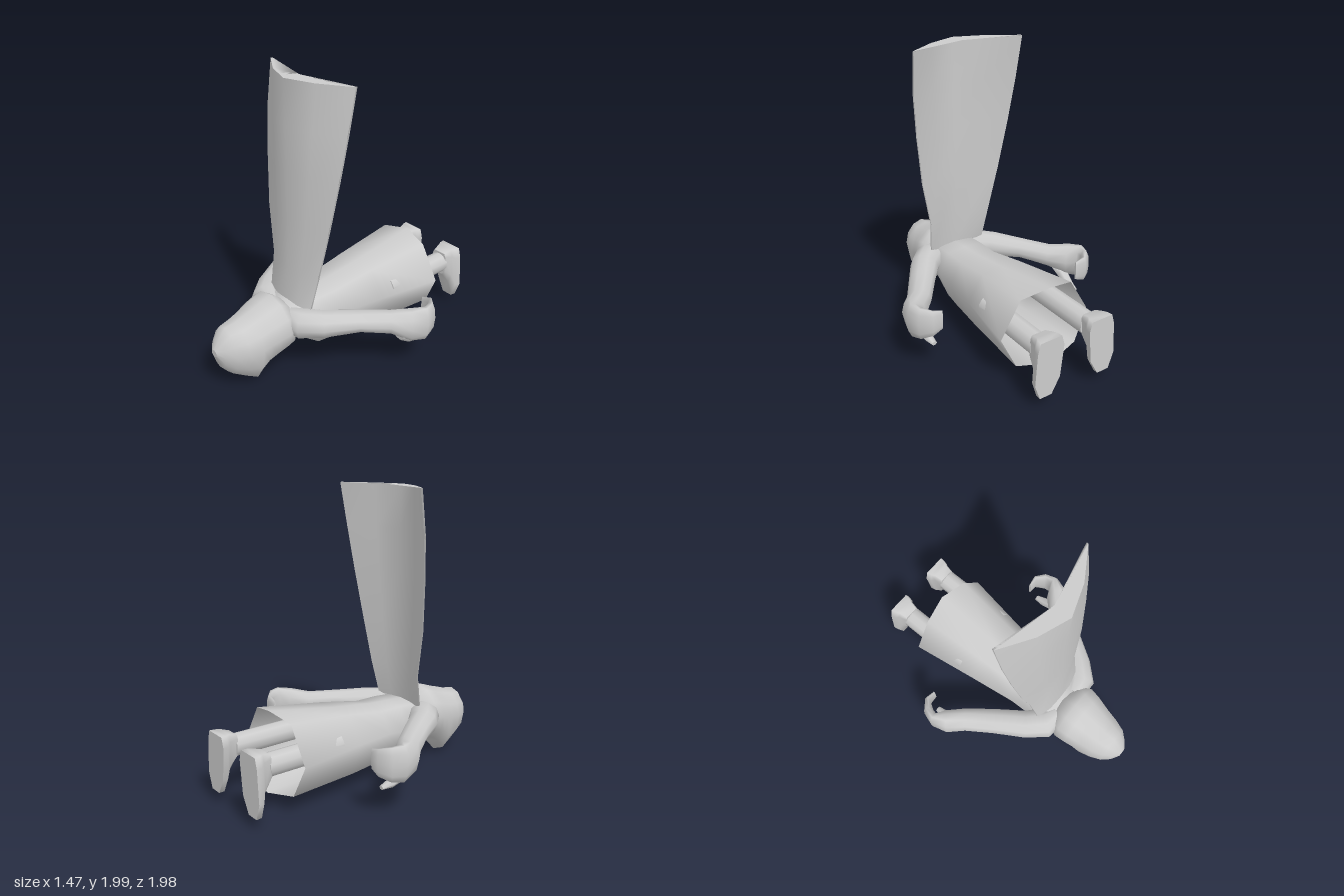
import * as THREE from 'three';

const material = new THREE.MeshStandardMaterial({ color: 0xcccccc, side: THREE.DoubleSide });
const V = (x, y, z) => new THREE.Vector3(x, y, z);

// Skin a list of equal-length closed rings; end caps get their own vertices so their rims stay sharp
function loft(name, rings, { capStart = false, capEnd = false } = {}) {
  const n = rings[0].length, pos = [], index = [];
  rings.forEach(r => r.forEach(p => pos.push(p.x, p.y, p.z)));
  for (let i = 0; i < rings.length - 1; i++) {
    for (let j = 0; j < n; j++) {
      const a = i * n + j, b = i * n + (j + 1) % n;
      index.push(a, b, b + n, a, b + n, a + n);
    }
  }
  const cap = (ring, flip) => {
    const base = pos.length / 3;
    const mid = ring.reduce((s, p) => s.add(p), V(0, 0, 0)).divideScalar(n);
    [mid, ...ring].forEach(p => pos.push(p.x, p.y, p.z));
    for (let j = 0; j < n; j++) {
      const a = base + 1 + j, b = base + 1 + (j + 1) % n;
      index.push(base, flip ? b : a, flip ? a : b);
    }
  };
  if (capStart) cap(rings[0], true);
  if (capEnd) cap(rings[rings.length - 1], false);
  const g = new THREE.BufferGeometry();
  g.setAttribute('position', new THREE.Float32BufferAttribute(pos, 3));
  g.setIndex(index);
  g.computeVertexNormals();
  const mesh = new THREE.Mesh(g, material);
  mesh.name = name;
  return mesh;
}

// Egg-shaped ring in the xy plane with separate upper and lower heights
function eggRing(z, top, bottom, half, mid, n = 12, cx = 0) {
  return Array.from({ length: n }, (_, k) => {
    const a = k / n * Math.PI * 2, s = Math.sin(a);
    return V(cx + half * Math.cos(a), mid + s * (s > 0 ? top - mid : mid - bottom), z);
  });
}

// Sweep flattened ovals along a path; stations are [x, y, z, half width, half height]
function sweep(name, stations, n = 10) {
  const pts = stations.map(s => V(s[0], s[1], s[2]));
  const up = V(0, 1, 0);
  const rings = stations.map((s, i) => {
    const t = pts[Math.min(i + 1, pts.length - 1)].clone().sub(pts[Math.max(i - 1, 0)]);
    const side = up.clone().cross(t).normalize();
    return Array.from({ length: n }, (_, k) => {
      const a = k / n * Math.PI * 2;
      return pts[i].clone().addScaledVector(side, s[3] * Math.cos(a)).addScaledVector(up, s[4] * Math.sin(a));
    });
  });
  return loft(name, rings, { capStart: true, capEnd: true });
}

function makeRobe() {
  // [z, top y, corner x, y, side x, y, lower x, y, bottom y], hem to neck
  const sections = [
    [-0.70, 0.64, 0.20, 0.60, 0.345, 0.36, 0.24, 0.14, 0.09],
    [-0.20, 0.55, 0.16, 0.54, 0.27, 0.36, 0.20, 0.14, 0.115],
    [0.10, 0.51, 0.14, 0.49, 0.22, 0.35, 0.18, 0.16, 0.13],
    [0.26, 0.50, 0.14, 0.49, 0.21, 0.33, 0.15, 0.15, 0.11],
    [0.40, 0.49, 0.14, 0.48, 0.20, 0.36, 0.12, 0.24, 0.19],
    [0.52, 0.44, 0.10, 0.42, 0.14, 0.36, 0.08, 0.28, 0.25],
  ];
  const rings = sections.map(([z, top, cx, cy, sx, sy, lx, ly, bot], i) => {
    const h = i === 0 ? 1 : 0; // the hem is pointed at back and front
    return [
      V(sx, sy, z + 0.02 * h), V(cx, cy, z + 0.02 * h), V(0, top, z - 0.015 * h), V(-cx, cy, z + 0.02 * h),
      V(-sx, sy, z + 0.02 * h), V(-lx, ly, z), V(0, bot, z - 0.045 * h), V(lx, ly, z),
    ];
  });
  return loft('robe', rings, { capEnd: true });
}

function makeHead() {
  // [z, top, bottom, half width, height of widest point], neck to crown
  const sections = [
    [0.43, 0.47, 0.19, 0.13, 0.33],
    [0.47, 0.52, 0.17, 0.19, 0.36],
    [0.54, 0.57, 0.17, 0.223, 0.37],
    [0.62, 0.543, 0.13, 0.212, 0.35],
    [0.68, 0.52, 0.085, 0.198, 0.33],
    [0.73, 0.505, 0.01, 0.188, 0.31],
    [0.82, 0.475, 0.07, 0.168, 0.30],
    [0.90, 0.465, 0.125, 0.135, 0.30],
    [0.955, 0.395, 0.19, 0.085, 0.30],
    [0.99, 0.335, 0.29, 0.03, 0.31],
  ];
  return loft('head', sections.map(s => eggRing(...s)), { capStart: true, capEnd: true });
}

function makeCape() {
  // [y, half width, middle z, half-way z, edge z]
  const rows = [
    [0.48, 0.215, 0.41, 0.405, 0.38],
    [0.72, 0.24, 0.395, 0.375, 0.33],
    [1.05, 0.31, 0.382, 0.36, 0.305],
    [1.40, 0.362, 0.38, 0.345, 0.265],
    [1.70, 0.396, 0.382, 0.33, 0.228],
    [2.00, 0.41, 0.384, 0.31, 0.18],
  ];
  const t = 0.014;
  const rings = rows.map(([y, w, zm, zh, ze]) => {
    const line = [[-w, ze], [-w / 2, zh], [0, zm], [w / 2, zh], [w, ze]];
    return [
      ...line.map(([x, z]) => V(x, y, z)),
      ...line.reverse().map(([x, z]) => V(x, y, z - t)),
    ];
  });
  return loft('cape', rings, { capStart: true, capEnd: true });
}

function makeArm() {
  const arm = new THREE.Group();
  // Sleeve flowing into a flat, curled hand
  arm.add(sweep('sleeveAndHand', [
    [0.10, 0.39, 0.46, 0.07, 0.09],
    [0.20, 0.40, 0.43, 0.11, 0.10],
    [0.30, 0.405, 0.33, 0.10, 0.09],
    [0.43, 0.415, 0.14, 0.09, 0.068],
    [0.55, 0.395, -0.03, 0.083, 0.08],
    [0.645, 0.38, -0.13, 0.08, 0.118],
    [0.695, 0.385, -0.205, 0.042, 0.126],
    [0.675, 0.39, -0.275, 0.035, 0.118],
    [0.62, 0.40, -0.33, 0.02, 0.095],
    [0.55, 0.40, -0.325, 0.01, 0.07],
  ]));
  arm.add(sweep('thumb', [
    [0.60, 0.31, -0.06, 0.05, 0.04],
    [0.605, 0.265, -0.13, 0.045, 0.04],
    [0.595, 0.225, -0.21, 0.035, 0.03],
    [0.59, 0.21, -0.285, 0.02, 0.013],
  ], 6));
  return arm;
}

function makeLeg() {
  const leg = new THREE.Group();
  const shin = new THREE.Mesh(new THREE.CylinderGeometry(0.075, 0.075, 0.55, 10, 1), material);
  shin.name = 'shin';
  shin.rotation.x = Math.PI / 2;
  shin.position.set(0.2, 0.385, -0.6);
  leg.add(shin);
  // Shoe: sole at the far end, toe pointing down and slightly outward
  const sections = [
    [-0.99, 0.49, 0.09, 0.10, 0.36],
    [-0.95, 0.49, 0.09, 0.092, 0.36],
    [-0.925, 0.49, 0.21, 0.075, 0.38],
    [-0.865, 0.47, 0.295, 0.062, 0.385],
  ];
  const rings = sections.map(([z, top, bottom, half, mid]) => {
    const rows = [[half, mid + 0.06], [half * 0.8, top], [-half * 0.8, top], [-half, mid + 0.06],
      [-half * 0.95, mid - (mid - bottom) * 0.6], [-half * 0.45, bottom], [half * 0.45, bottom],
      [half * 0.95, mid - (mid - bottom) * 0.6]];
    return rows.map(([x, y]) => V(0.2 + x + Math.max(0, 0.385 - y) * 0.1, y, z));
  });
  leg.add(loft('shoe', rings, { capStart: true, capEnd: true }));
  return leg;
}

export function createModel() {
  const model = new THREE.Group();
  model.name = 'cloakedFigure';
  model.add(makeRobe(), makeHead(), makeCape());
  // Mirrored limbs
  for (const [side, s] of [['left', 1], ['right', -1]]) {
    const arm = makeArm(), leg = makeLeg();
    arm.name = side + 'Arm';
    leg.name = side + 'Leg';
    arm.scale.x = leg.scale.x = s;
    model.add(arm, leg);
  }
  // Stand on the ground
  model.position.y = -0.01;
  const root = new THREE.Group();
  root.add(model);
  return root;
}
